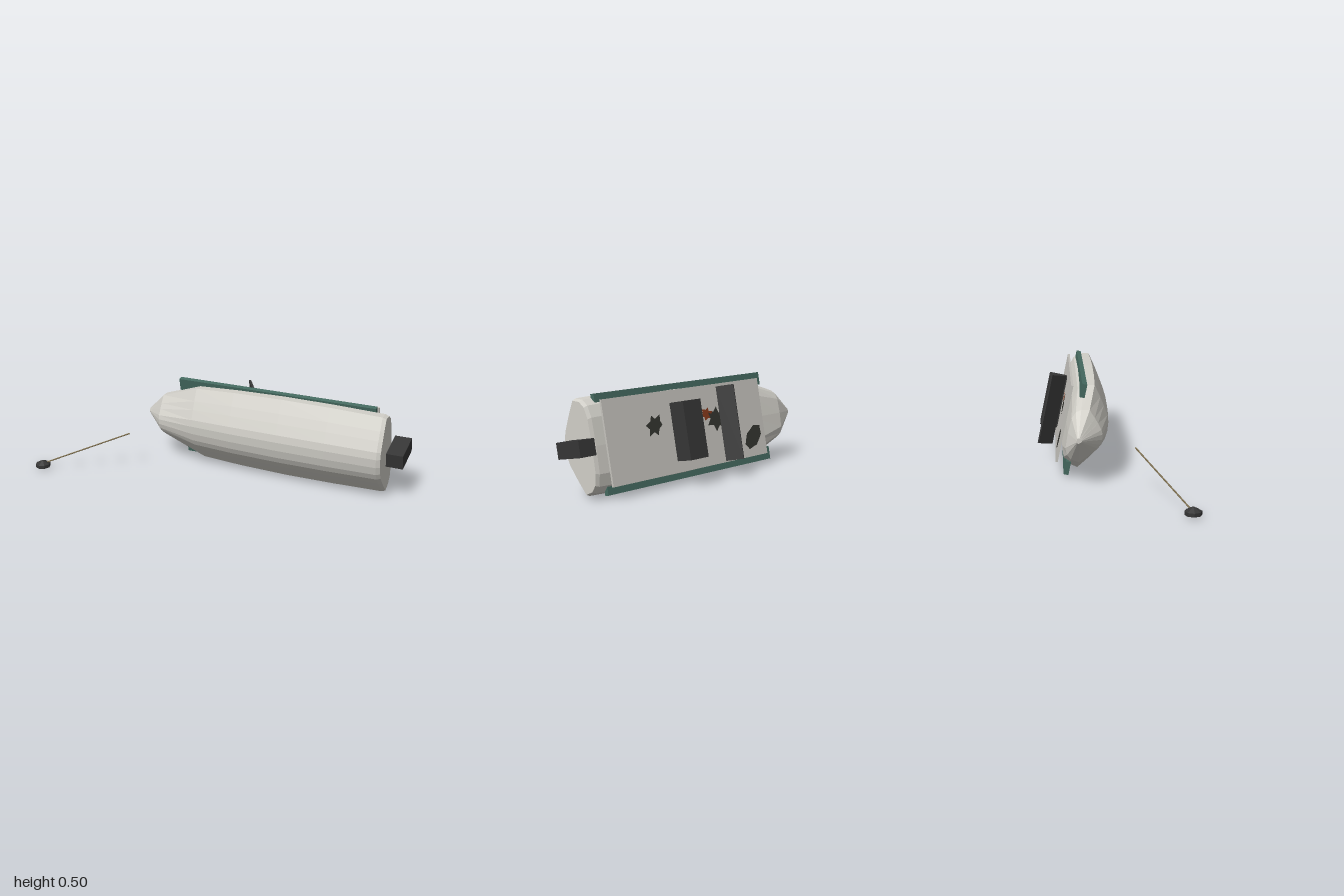
import * as THREE from 'three';

const mat = (name, color, extra = {}) => {
  const m = new THREE.MeshStandardMaterial({ color, flatShading: true, ...extra });
  m.name = name;
  return m;
};

// Half cross-section of the hull, keel to deck: [share of half width, share of height]
const HALF = [[0, 0], [0.2, 0.02], [0.36, 0.075], [0.57, 0.21], [0.75, 0.335], [1, 0.525],
  [0.95, 0.76], [0.82, 0.9], [0.57, 0.98], [0, 1]];
// Hull stations, bow to stern: [x, half width, keel height, deck height]
const STATIONS = [[-0.53, 0.014, 0.2, 0.225], [-0.41, 0.138, 0.091, 0.268], [-0.18, 0.228, 0.05, 0.272],
  [0.05, 0.24, 0.039, 0.275], [0.33, 0.246, 0.034, 0.276], [0.6, 0.243, 0.035, 0.275],
  [0.88, 0.234, 0.04, 0.27], [0.9, 0.225, 0.05, 0.265]];

function hullGeometry() {
  const ring = [...HALF.map(([w, v]) => [-w, v]), ...HALF.slice(1, -1).reverse()];
  const n = ring.length, pos = [], idx = [];
  for (const [x, w, bottom, top] of STATIONS)
    for (const [s, v] of ring) pos.push(x, bottom + (top - bottom) * v, s * w);
  const last = STATIONS.length - 1;
  for (let i = 0; i < last; i++)
    for (let j = 0; j < n; j++) {
      const a = i * n + j, b = i * n + (j + 1) % n;
      idx.push(a, b, b + n, a, b + n, a + n);
    }
  // Fans closing the bow tip and the transom
  for (let j = 1; j < n - 1; j++) {
    idx.push(0, j + 1, j);
    idx.push(last * n, last * n + j, last * n + j + 1);
  }
  const g = new THREE.BufferGeometry();
  g.setAttribute('position', new THREE.Float32BufferAttribute(pos, 3));
  g.setIndex(idx);
  g.computeVertexNormals();
  return g;
}

export function createModel() {
  const model = new THREE.Group();
  model.name = 'capsizedBoat';
  const white = mat('hullWhite', 0xd2d0c9);
  const deckGrey = mat('deckGrey', 0xc6c4be);
  const green = mat('railGreen', 0x456a60);
  const black = mat('charcoal', 0x363636);
  const patchDark = mat('patchDark', 0x33342f, { side: THREE.DoubleSide });
  const rust = mat('rust', 0x86391b, { side: THREE.DoubleSide });
  const tan = mat('ropeTan', 0x7a6c4c);

  // The boat is built upright, then rolled onto its side
  const boat = new THREE.Group();
  boat.name = 'boat';
  boat.rotation.x = THREE.MathUtils.degToRad(-78);
  model.add(boat);
  const body = new THREE.Group();
  body.name = 'boatBody';
  body.position.z = 0.2135;
  boat.add(body);

  const add = (parent, name, geometry, material, x = 0, y = 0, z = 0) => {
    const m = new THREE.Mesh(geometry, material);
    m.name = name;
    m.position.set(x, y, z);
    parent.add(m);
    return m;
  };
  const box = (name, material, [w, h, d], x, y, z) =>
    add(body, name, new THREE.BoxGeometry(w, h, d), material, x, y, z);

  add(body, 'hull', hullGeometry(), white);
  box('deck', deckGrey, [1.07, 0.012, 0.416], 0.295, 0.284, 0.003);
  for (const s of [-1, 1])
    box(s < 0 ? 'rightRail' : 'leftRail', green, [1.14, 0.026, 0.07], 0.26, 0.227, s * 0.2085);
  box('motor', black, [0.09, 0.18, 0.08], 0.955, 0.214, 0);
  box('console', black, [0.12, 0.1, 0.294], 0.355, 0.341, 0);
  box('windscreen', black, [0.012, 0.094, 0.392], 0.073, 0.35, 0).rotation.z = 0.6;

  // Ragged flat patches lying on the deck
  const patch = (name, material, x, z, rx, rz, turn, radii) => {
    const pts = radii.map((r, i) => {
      const a = i / radii.length * Math.PI * 2;
      return new THREE.Vector2(Math.cos(a) * r * rx, Math.sin(a) * r * rz);
    });
    const g = new THREE.ShapeGeometry(new THREE.Shape(pts));
    g.rotateZ(turn).rotateX(-Math.PI / 2);
    add(body, name, g, material, x, 0.2925, z);
  };
  const oval = [1, 0.9, 1, 0.88, 1, 0.92, 1, 0.9, 1, 0.88, 1, 0.92, 1, 0.9];
  const splat = [1, 0.55, 0.95, 0.6, 0.85, 0.65, 1, 0.5, 0.9, 0.6, 1, 0.6];
  patch('bowPatch', patchDark, -0.145, -0.1, 0.08, 0.048, -2.4, oval);
  patch('middlePatch', patchDark, 0.11, 0.03, 0.07, 0.07, 0.4, splat);
  patch('rustPatch', rust, 0.175, 0.062, 0.045, 0.038, 0.2, splat);
  patch('sternPatch', patchDark, 0.53, 0.05, 0.065, 0.055, 0.9, splat);

  // Anchor weight on the ground and its stiff line
  const anchor = new THREE.Group();
  anchor.name = 'anchor';
  anchor.position.set(-0.958, 0, 0.339);
  model.add(anchor);
  add(anchor, 'anchorBase', new THREE.CylinderGeometry(0.041, 0.041, 0.018, 8), black, 0, 0.022, 0);
  add(anchor, 'anchorCap', new THREE.CylinderGeometry(0.006, 0.041, 0.019, 8), black, 0, 0.0405, 0);
  const line = new THREE.LineCurve3(new THREE.Vector3(-0.94, 0.037, 0.327), new THREE.Vector3(-0.51, 0.21, 0.116));
  add(model, 'anchorLine', new THREE.TubeGeometry(line, 1, 0.004, 6), tan);

  return model;
}
